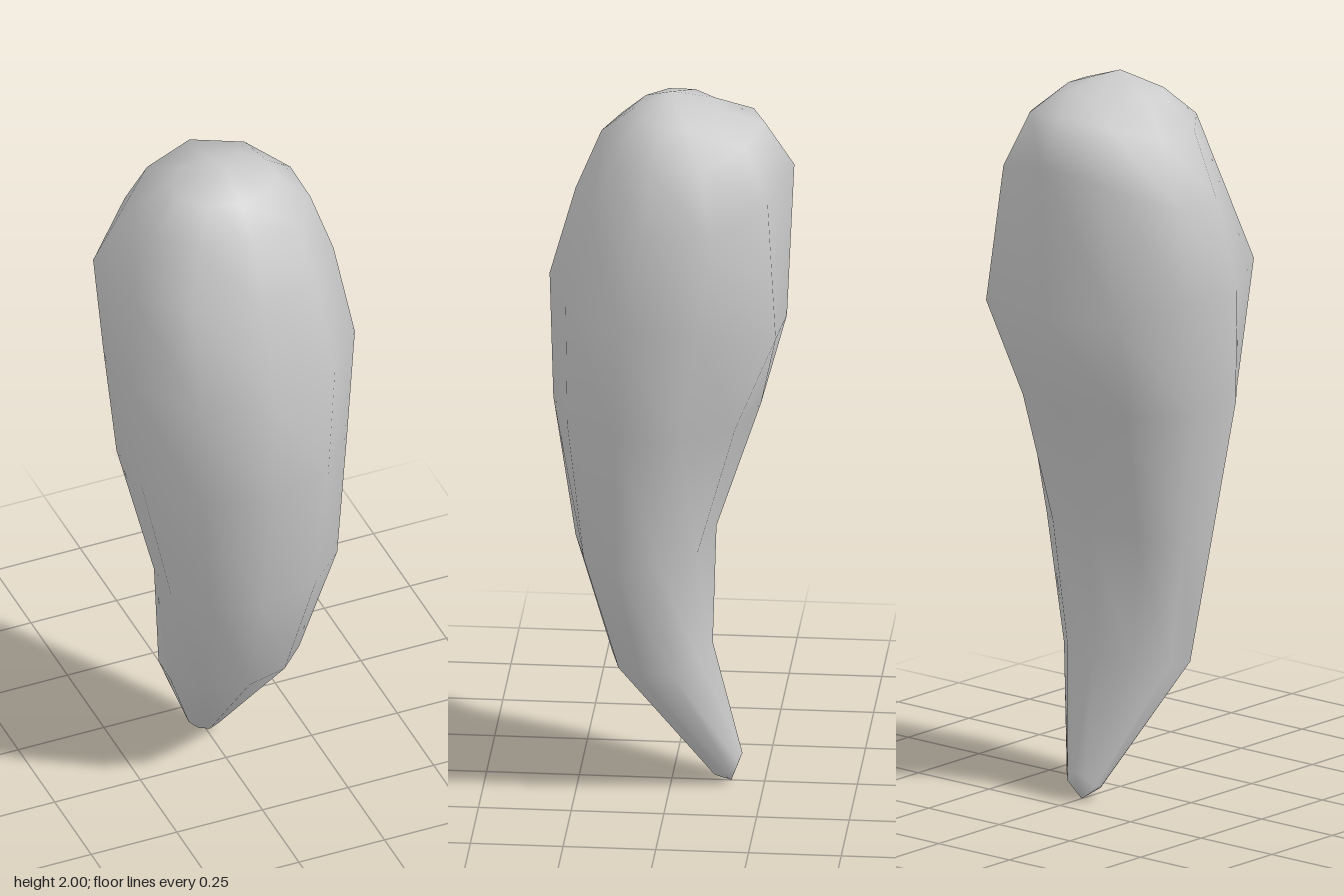
import * as THREE from 'three';

const SIDES = 10;

// Tilted rings, top to bottom: front z, front y, back z, back y, side y, right width, left width
const RINGS = [
  [0.10, 1.95, -0.13, 1.95, 1.95, 0.14, 0.14],
  [0.19, 1.88, -0.25, 1.92, 1.86, 0.23, 0.23],
  [0.26, 1.71, -0.33, 1.80, 1.68, 0.29, 0.29],
  [0.33, 1.46, -0.31, 1.36, 1.42, 0.32, 0.33],
  [0.32, 1.10, -0.24, 1.10, 1.10, 0.30, 0.30],
  [0.26, 0.70, -0.12, 0.74, 0.71, 0.215, 0.27],
  [0.16, 0.36, -0.11, 0.40, 0.37, 0.19, 0.185],
  [-0.11, 0.02, -0.19, 0.08, 0.04, 0.05, 0.05],
];

// Small irregular bulges: ring, side, outward x, outward z
const BULGES = [
  [2, 7, -0.04, -0.01],
  [3, 4, 0.015, -0.05],
  [3, 9, -0.01, 0.04],
];

function ringPoint(r, s) {
  const [zf, yf, zb, yb, ys, right, left] = RINGS[r];
  const a = (s / SIDES) * Math.PI * 2;
  const c = Math.cos(a);
  const x = (Math.sin(a) / Math.sin(Math.PI * 0.4)) * (Math.sin(a) > 0 ? left : right);
  const y = ys + ((c > 0 ? yf : yb) - ys) * c * c;
  const p = new THREE.Vector3(x, y, (zf + zb) / 2 + ((zf - zb) / 2) * c);
  for (const [br, bs, dx, dz] of BULGES) {
    if (br === r && bs === s) p.add(new THREE.Vector3(dx, 0, dz));
  }
  return p;
}

export function createModel() {
  const points = [new THREE.Vector3(0, 2, 0)];
  for (let r = 0; r < RINGS.length; r++) {
    for (let s = 0; s < SIDES; s++) points.push(ringPoint(r, s));
  }
  points.push(new THREE.Vector3(0, 0, -0.16));

  // Skin between rings, closed by a fan at the crown and the tip
  const id = (r, s) => 1 + r * SIDES + (s % SIDES);
  const last = RINGS.length - 1;
  const index = [];
  for (let s = 0; s < SIDES; s++) {
    index.push(0, id(0, s), id(0, s + 1));
    for (let r = 0; r < last; r++) {
      index.push(id(r, s), id(r + 1, s), id(r + 1, s + 1));
      index.push(id(r, s), id(r + 1, s + 1), id(r, s + 1));
    }
    index.push(id(last, s), points.length - 1, id(last, s + 1));
  }

  const geometry = new THREE.BufferGeometry().setFromPoints(points);
  geometry.setIndex(index);
  geometry.computeVertexNormals();

  const body = new THREE.Mesh(geometry, new THREE.MeshStandardMaterial({ color: 0xcccccc }));
  body.name = 'curvedTaperedBody';
  const model = new THREE.Group();
  model.name = 'curvedHorn';
  model.add(body);
  return model;
}
